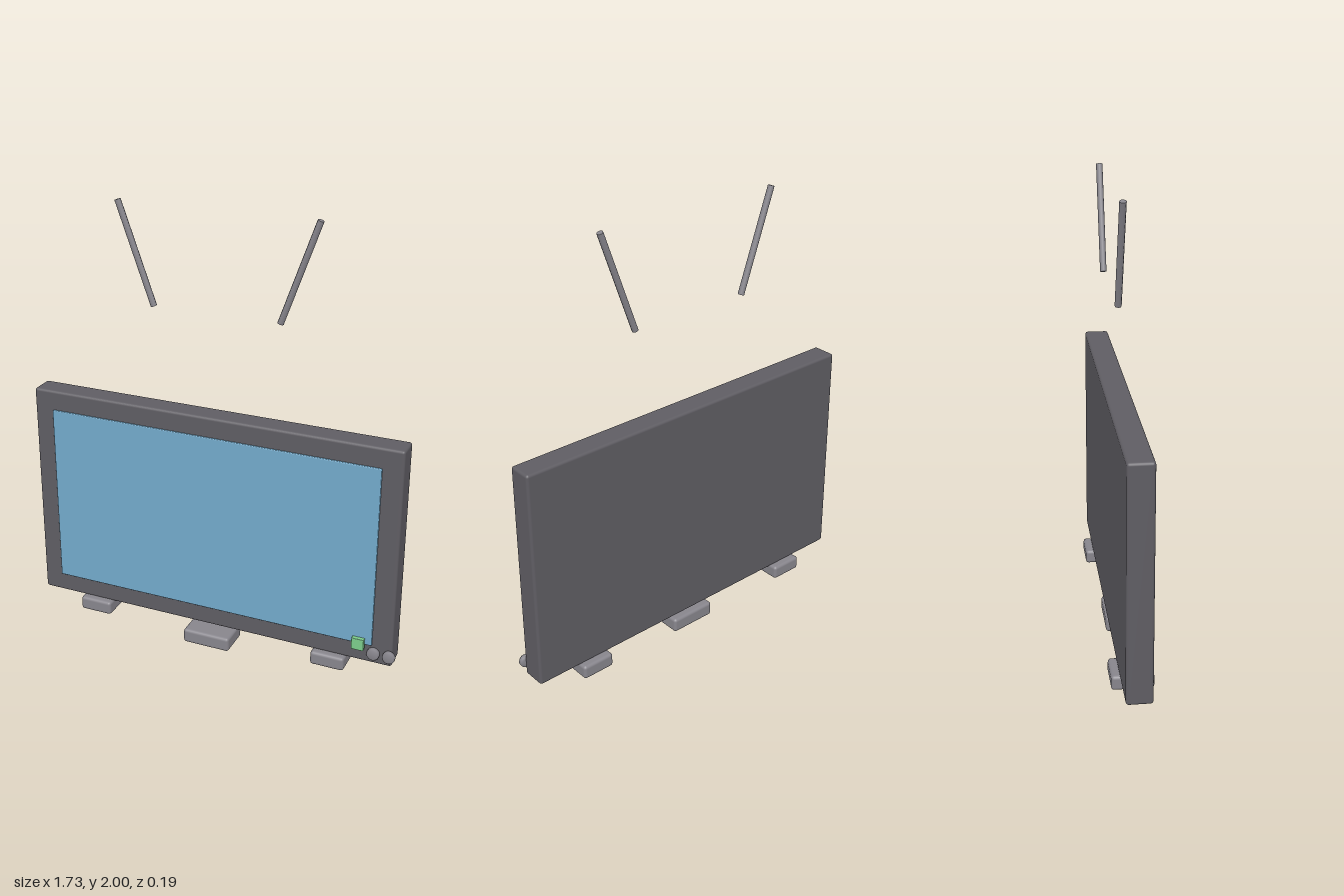
import * as THREE from 'three';
import { RoundedBoxGeometry } from 'three/addons/geometries/RoundedBoxGeometry.js';

const mat = (name, color) => {
  const m = new THREE.MeshStandardMaterial({ color });
  m.name = name;
  return m;
};

export function createModel() {
  const group = new THREE.Group();
  const casing = mat('dark grey casing', 0x5f5d63);
  const grey = mat('mid grey trim', 0x87858c);
  const blue = mat('blue screen', 0x73aacb);
  const green = mat('green light', 0x7ccc8b);

  const add = (name, geometry, material) => {
    const mesh = new THREE.Mesh(geometry, material);
    mesh.name = name;
    group.add(mesh);
    return mesh;
  };

  // Box given by its extents, with softened edges
  const block = (name, material, [x0, x1], [y0, y1], [z0, z1], radius) => {
    const geometry = new RoundedBoxGeometry(x1 - x0, y1 - y0, z1 - z0, 2, radius);
    add(name, geometry, material)
      .position.set((x0 + x1) / 2, (y0 + y1) / 2, (z0 + z1) / 2);
  };

  // Casing and screen
  block('casing', casing, [-0.865, 0.845], [0.1, 1.12], [-0.06, 0.05], 0.012);
  block('screen', blue, [-0.773, 0.755], [0.19, 1.03], [0.03, 0.06], 0.004);

  // Feet: one on each side, a lower one in the middle
  block('rightFoot', grey, [-0.66, -0.505], [0.04, 0.105], [-0.095, 0.083], 0.014);
  block('leftFoot', grey, [0.485, 0.64], [0.04, 0.105], [-0.095, 0.083], 0.014);
  block('middleFoot', grey, [-0.123, 0.1], [0.002, 0.07], [-0.06, 0.094], 0.014);

  // Indicator light
  block('indicatorLight', green, [0.671, 0.726], [0.17, 0.225], [0.063, 0.083], 0.002);

  // Knobs with rounded rims
  const profile = [[0, 0], [0.022, 0], [0.028, 0.007], [0.028, 0.023], [0.022, 0.03], [0, 0.03]]
    .map(([r, h]) => new THREE.Vector2(r, h));
  const knob = new THREE.LatheGeometry(profile, 20).rotateX(Math.PI / 2);
  for (const x of [0.765, 0.835]) {
    add('knob', knob, grey).position.set(x, 0.155, 0.047);
  }

  // Aerials leaning outwards
  const aerial = new THREE.CylinderGeometry(0.014, 0.014, 0.468, 8);
  for (const side of [-1, 1]) {
    const mesh = add(side < 0 ? 'rightAerial' : 'leftAerial', aerial, grey);
    mesh.position.set(-0.012 + side * 0.365, 1.775, -0.027);
    mesh.rotation.z = -side * 0.345;
  }

  return group;
}
